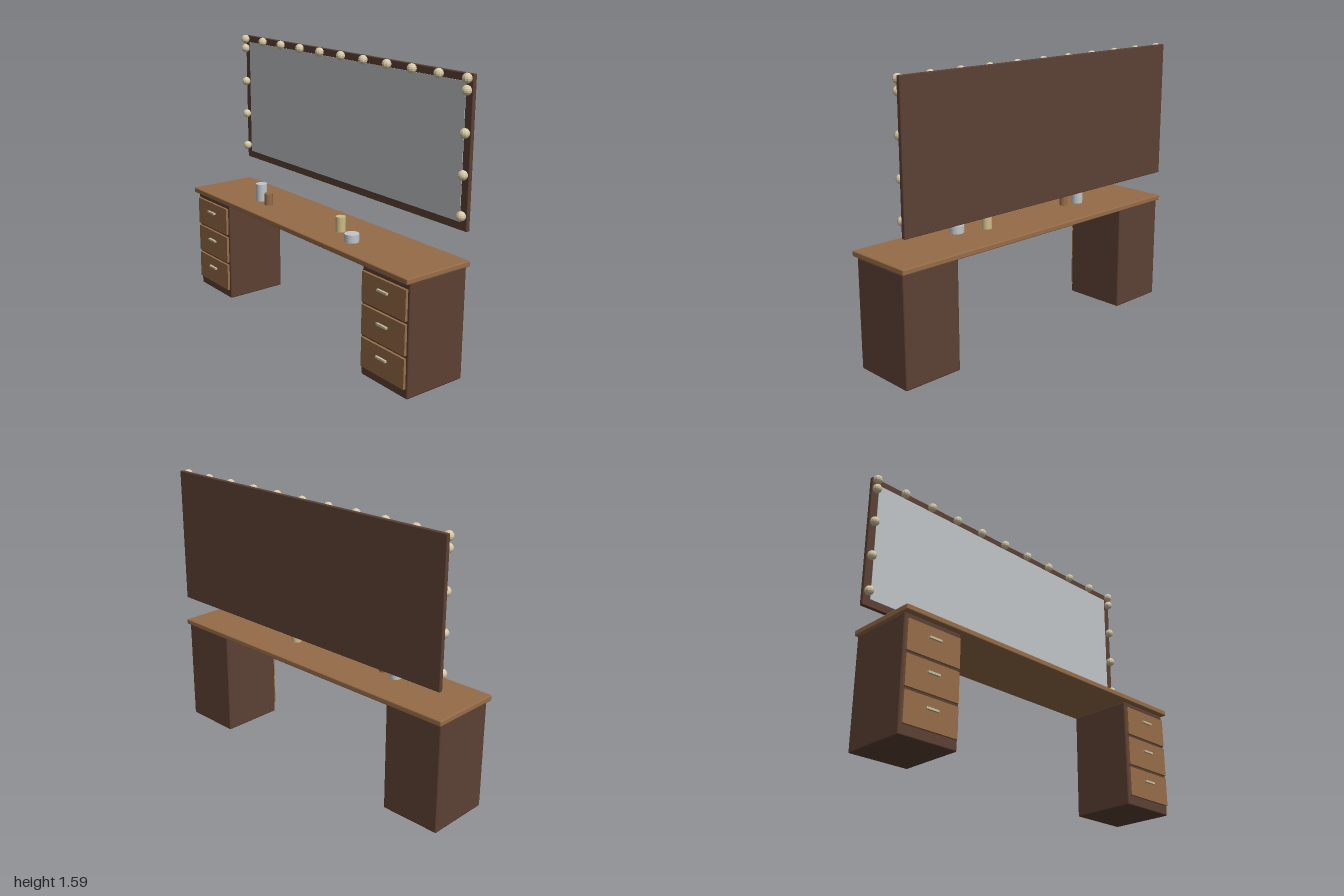
import * as THREE from 'three';
import { RoundedBoxGeometry } from 'three/addons/geometries/RoundedBoxGeometry.js';

function material(name, color, flatShading = false) {
  const m = new THREE.MeshStandardMaterial({ color, flatShading });
  m.name = name;
  return m;
}

export function createModel() {
  const darkWood = material('dark wood', 0x5c4033);
  const lightWood = material('light wood', 0x966d48);
  const glass = material('mirror glass', 0xc0c5c8);
  const silver = material('silver', 0xc0c6ca);
  const cream = material('cream', 0xcfbd88);
  const handleMetal = material('handle metal', 0xc8bea0);
  const bulbGlass = material('bulb glass', 0xd8caa8, true);

  const model = new THREE.Group();
  model.name = 'vanityDesk';

  function add(parent, name, geometry, mat, x, y, z) {
    const mesh = new THREE.Mesh(geometry, mat);
    mesh.name = name;
    mesh.position.set(x, y, z);
    parent.add(mesh);
    return mesh;
  }

  // Desk top with softened edges
  add(model, 'deskTop', new RoundedBoxGeometry(2, 0.032, 0.426, 1, 0.007), lightWood, 0, 0.634, 0);

  // Two drawer pedestals
  const cabinetGeo = new RoundedBoxGeometry(0.354, 0.618, 0.38, 1, 0.008);
  const drawerGeo = new THREE.BoxGeometry(0.328, 0.165, 0.016);
  const handleGeo = new THREE.BoxGeometry(0.076, 0.011, 0.014);
  for (const side of [-1, 1]) {
    const pedestal = new THREE.Group();
    pedestal.name = side > 0 ? 'leftPedestal' : 'rightPedestal';
    pedestal.position.x = side * 0.813;
    add(pedestal, 'cabinet', cabinetGeo, darkWood, 0, 0.309, -0.007);
    for (let i = 0; i < 3; i++) {
      const y = 0.138 + i * 0.182;
      add(pedestal, 'drawerFront', drawerGeo, lightWood, 0, y, 0.19);
      add(pedestal, 'drawerHandle', handleGeo, handleMetal, 0, y + 0.022, 0.204);
    }
    model.add(pedestal);
  }

  // Wall mirror: backing board and thin glass plate
  const mirror = new THREE.Group();
  mirror.name = 'mirror';
  add(mirror, 'mirrorFrame', new RoundedBoxGeometry(1.966, 0.786, 0.024, 1, 0.004), darkWood, 0, 1.192, -0.202);
  add(mirror, 'mirrorGlass', new THREE.BoxGeometry(1.876, 0.703, 0.006), glass, 0, 1.194, -0.19);

  // Bulbs along the top and down both sides
  const bulbGeo = new THREE.SphereGeometry(0.026, 10, 8);
  for (let i = 0; i < 11; i++) {
    add(mirror, 'topBulb', bulbGeo, bulbGlass, -0.96 + i * 0.192, 1.565, -0.171);
  }
  for (const x of [-0.96, 0.96]) {
    for (let i = 0; i < 4; i++) {
      add(mirror, 'sideBulb', bulbGeo, bulbGlass, x, 0.88 + i * 0.209, -0.171);
    }
  }
  model.add(mirror);

  // Jars on the desk: name, radius, height, x, z, material
  const jars = [
    ['tallBottle', 0.034, 0.105, -0.503, 0.031, silver],
    ['smallPot', 0.025, 0.07, -0.403, 0.048, lightWood],
    ['creamBottle', 0.028, 0.085, 0.247, 0.016, cream],
    ['wideJar', 0.041, 0.044, 0.414, 0.074, silver],
  ];
  for (const [name, r, h, x, z, mat] of jars) {
    add(model, name, new THREE.CylinderGeometry(r, r, h, 12), mat, x, 0.65 + h / 2, z);
  }

  return model;
}
